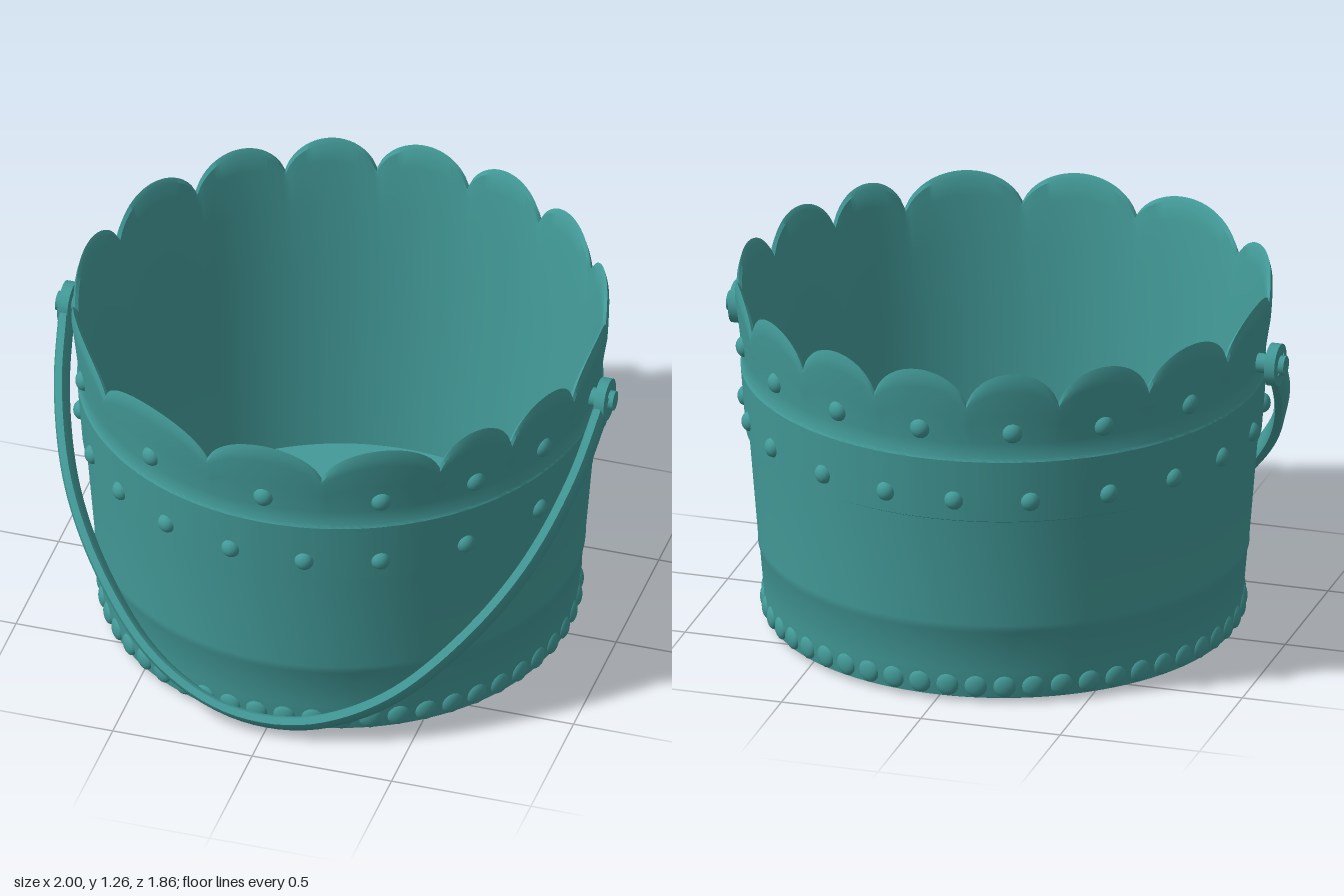
import * as THREE from 'three';
import { mergeVertices, toCreasedNormals } from 'three/addons/utils/BufferGeometryUtils.js';

const CX = 0.01;          // the tub sits slightly off the handle's centre
// Hand-cut rim: angles of the notches between scallops, in degrees from the front
const NOTCHES = [13, 39, 57, 78, 104, 126, 148, 168, 189, 209, 230, 254, 283, 315, 347];
const LOWER_STUDS = [9, 26, 46, 67, 88, 103, 118, 134, 153, 170, 186,
  203, 221, 238, 254, 270, 287, 304, 319, 335, 352];

// each scallop as [start, end]
const scallops = NOTCHES.map((a, i) => [a, NOTCHES[i + 1] ?? NOTCHES[0] + 360]);

// rounded outline of the rim at an angle: 1 at the crown of a scallop, low at a notch
function archAt(degrees) {
  const d = degrees < NOTCHES[0] ? degrees + 360 : degrees;
  const [a, b] = scallops.find(([, end]) => d <= end) ?? scallops[0];
  const u = (2 * d - a - b) / (b - a);
  return Math.sqrt(Math.max(0, 1 - 0.9 * u * u));
}

export function createModel() {
  const model = new THREE.Group();
  const teal = new THREE.MeshStandardMaterial({ color: 0x429a98 });

  function add(geometry, name, parent = model) {
    const mesh = new THREE.Mesh(geometry, teal);
    mesh.name = name;
    parent.add(mesh);
    return mesh;
  }

  // Tub: lathed shell with floor, hoop steps and a scalloped rim
  const profile = [
    [0, 0.01], [0.79, 0.01], [0.812, 0.02], [0.82, 0.06], [0.825, 0.12],
    [0.838, 0.27], [0.843, 0.28], [0.843, 0.3], [0.875, 0.698], [0.886, 0.704],
    [0.903, 0.93], [0.897, 0.94], [0.9, 1.0], [0.91, 1.1], [0.92, 1.19],
    [0.921, 1.225], [0.914, 1.25], [0.902, 1.235], [0.893, 1.17], [0.877, 1.0],
    [0.855, 0.75], [0.82, 0.35], [0.79, 0.06], [0, 0.06],
  ].map(([r, y]) => new THREE.Vector2(r, y));
  let tub = new THREE.LatheGeometry(profile, 360);
  const pos = tub.attributes.position;
  for (let i = 0; i < pos.count; i++) {
    const x = pos.getX(i), y = pos.getY(i), z = pos.getZ(i);
    if (y <= 1.0) continue;
    const arch = archAt((THREE.MathUtils.radToDeg(Math.atan2(x, z)) + 360) % 360);
    const rim = 1.265 - 0.168 * (1 - arch);
    const t = (y - 1.0) / 0.25;
    const puff = 1 + 0.012 * t * (arch - 0.6);
    pos.setXYZ(i, x * puff, 1.0 + t * (rim - 1.0), z * puff);
  }
  tub.deleteAttribute('uv');
  tub.deleteAttribute('normal');
  tub = toCreasedNormals(mergeVertices(tub, 1e-4), 0.6);
  add(tub, 'tub').position.x = CX;

  // Rows of domed studs on the outside of the wall
  const dome = new THREE.SphereGeometry(1, 16, 6, 0, Math.PI * 2, 0, Math.PI / 2);
  dome.rotateX(Math.PI / 2);
  function studRow(name, angles, y, radius, size, depth) {
    const row = new THREE.Group();
    row.name = name;
    row.position.x = CX;
    for (const degrees of angles) {
      const a = THREE.MathUtils.degToRad(degrees);
      const stud = add(dome, 'stud', row);
      stud.position.set(Math.sin(a) * radius, y, Math.cos(a) * radius);
      stud.rotation.y = a;
      stud.scale.set(size, size * 1.05, depth);
    }
    model.add(row);
  }
  // one upper stud below each scallop, except where the handle pivots
  const crowns = scallops.map(([a, b]) => (a + b) / 2);
  const clearOfPivots = crowns.filter((d) => Math.abs(d - 90) > 8 && Math.abs(d - 270) > 8);
  studRow('upperStuds', clearOfPivots, 1.04, 0.898, 0.036, 0.03);
  studRow('lowerStuds', LOWER_STUDS, 0.78, 0.886, 0.034, 0.03);
  const beadAngles = Array.from({ length: 52 }, (_, i) => (i + 0.5) * 360 / 52);
  studRow('baseBeads', beadAngles, 0.065, 0.816, 0.04, 0.02);

  // Handle: flat strap swept along a curve hanging down at the front
  const left = [[0.965, 1.04, 0.01], [0.918, 0.82, 0.23], [0.815, 0.59, 0.445],
    [0.65, 0.375, 0.62], [0.43, 0.18, 0.76], [0.2, 0.075, 0.83],
  ].map((p) => new THREE.Vector3(...p));
  const right = left.map((p) => new THREE.Vector3(-p.x, p.y, p.z)).reverse();
  const path = new THREE.CatmullRomCurve3(
    [...left, new THREE.Vector3(0, 0.048, 0.848), ...right]);
  const across = new THREE.Vector3(0, 0.66, 0.75).normalize();
  const section = [[-1, -0.6], [-0.7, -1], [0.7, -1], [1, -0.6],
    [1, 0.6], [0.7, 1], [-0.7, 1], [-1, 0.6]];
  const STEPS = 80, N = section.length;
  const verts = [], faces = [];
  for (let i = 0; i <= STEPS; i++) {
    const p = path.getPointAt(i / STEPS);
    const out = new THREE.Vector3().crossVectors(across, path.getTangentAt(i / STEPS)).normalize();
    for (const [w, t] of section) {
      const v = p.clone().addScaledVector(across, w * 0.053).addScaledVector(out, t * 0.02);
      verts.push(v.x, v.y, v.z);
    }
    for (let j = 0; j < N && i < STEPS; j++) {
      const a = i * N + j, b = i * N + (j + 1) % N;
      faces.push(a, a + N, b, b, a + N, b + N);
    }
  }
  for (let j = 1; j < N - 1; j++) {
    const e = STEPS * N;
    faces.push(0, j, j + 1, e, e + j + 1, e + j);
  }
  const strap = new THREE.BufferGeometry();
  strap.setAttribute('position', new THREE.Float32BufferAttribute(verts, 3));
  strap.setIndex(faces);
  add(toCreasedNormals(strap, 0.6), 'handleStrap');

  // Pivots: round eye of the strap with a bolt through it
  for (const side of [1, -1]) {
    const pivot = new THREE.Group();
    pivot.name = side > 0 ? 'leftPivot' : 'rightPivot';
    pivot.position.set(0, 1.035, 0.01);
    const disc = (name, radius, from, to, sides) => {
      const mesh = add(new THREE.CylinderGeometry(radius, radius, to - from, sides), name, pivot);
      mesh.rotation.z = Math.PI / 2;
      mesh.position.x = side * (from + to) / 2;
    };
    disc('eye', 0.074, 0.943, 0.98, 28);
    disc('bolt', 0.034, 0.9, 1.0, 16);
    model.add(pivot);
  }
  return model;
}
